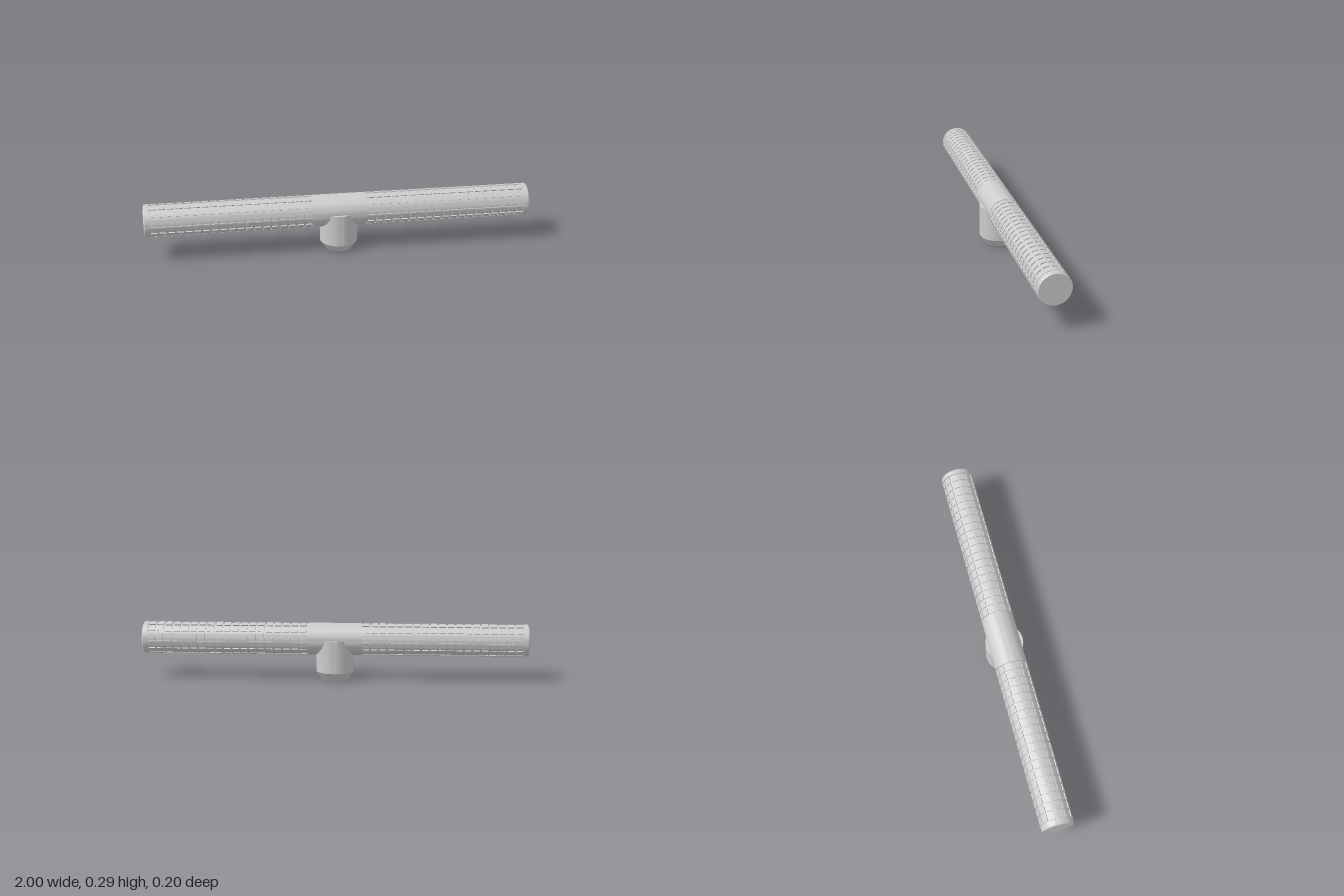
import * as THREE from 'three';
import { mergeGeometries, toCreasedNormals } from 'three/addons/utils/BufferGeometryUtils.js';

const AXIS_Y = 0.21;   // height of the bar axis
const R = 0.083;       // outer bar radius
const CORE = 0.077;    // radius at the bottom of the grooves
const SLEEVE = 0.14;   // half length of the smooth middle
const CAP = 0.972;     // where the end cap starts
const ROWS = 12, COLUMNS = 19, GROOVE = 0.01;

const material = new THREE.MeshStandardMaterial({ color: 0xcccccc });

function part(name, geometry) {
  const mesh = new THREE.Mesh(geometry, material);
  mesh.name = name;
  return mesh;
}

// Lathe around y from [radius, height] pairs, with sharp profile corners
function turned(points) {
  const profile = points.map(([r, y]) => new THREE.Vector2(r, y));
  return toCreasedNormals(new THREE.LatheGeometry(profile, 64), 0.4);
}

// The same, laid along +x
const turnedAlongX = (points) => turned(points).rotateZ(-Math.PI / 2);

// One curved grip pad, extruded along x from the origin
function padGeometry(length) {
  const half = Math.PI / ROWS - GROOVE / 2 / R;
  const shape = new THREE.Shape();
  shape.absarc(0, 0, R, -half, half, false);
  shape.absarc(0, 0, CORE - 0.002, half, -half, true);
  const geometry = new THREE.ExtrudeGeometry(shape, { depth: length, bevelEnabled: false, curveSegments: 4 });
  return toCreasedNormals(geometry.rotateY(Math.PI / 2), 0.4);
}

function createGrip() {
  const grip = new THREE.Group();
  grip.add(part('gripCore', turnedAlongX([[CORE, SLEEVE - 0.01], [CORE, CAP + 0.005]])));

  // Rows and columns of raised pads
  const pitch = (CAP - SLEEVE) / COLUMNS;
  const pad = padGeometry(pitch - GROOVE);
  const pads = [];
  for (let c = 0; c < COLUMNS; c++) {
    for (let r = 0; r < ROWS; r++) {
      const angle = (r + 0.5) * 2 * Math.PI / ROWS;
      pads.push(pad.clone().rotateX(angle).translate(SLEEVE + c * pitch + GROOVE / 2, 0, 0));
    }
  }
  grip.add(part('gripPads', mergeGeometries(pads)));

  // Bevelled end cap
  grip.add(part('endCap', turnedAlongX([
    [CORE - 0.01, CAP], [R, CAP], [R, 0.994], [CORE + 0.001, 1], [0, 1],
  ])));
  return grip;
}

export function createModel() {
  const model = new THREE.Group();
  model.name = 'handlebar';

  const bar = new THREE.Group();
  bar.name = 'bar';
  bar.position.y = AXIS_Y;
  bar.add(part('centreSleeve', turnedAlongX([
    [CORE - 0.01, -SLEEVE], [R, -SLEEVE], [R, SLEEVE], [CORE - 0.01, SLEEVE],
  ])));
  for (const side of [1, -1]) {
    const grip = createGrip();
    grip.name = side > 0 ? 'leftGrip' : 'rightGrip';
    if (side < 0) grip.rotation.y = Math.PI;
    bar.add(grip);
  }
  model.add(bar);

  // Stem with a chamfered foot and a blind hole from below
  model.add(part('stem', turned([
    [0, 0.1], [0.022, 0.1], [0.022, 0], [0.069, 0], [0.098, 0.042], [0.098, AXIS_Y], [0, AXIS_Y],
  ])));
  return model;
}
